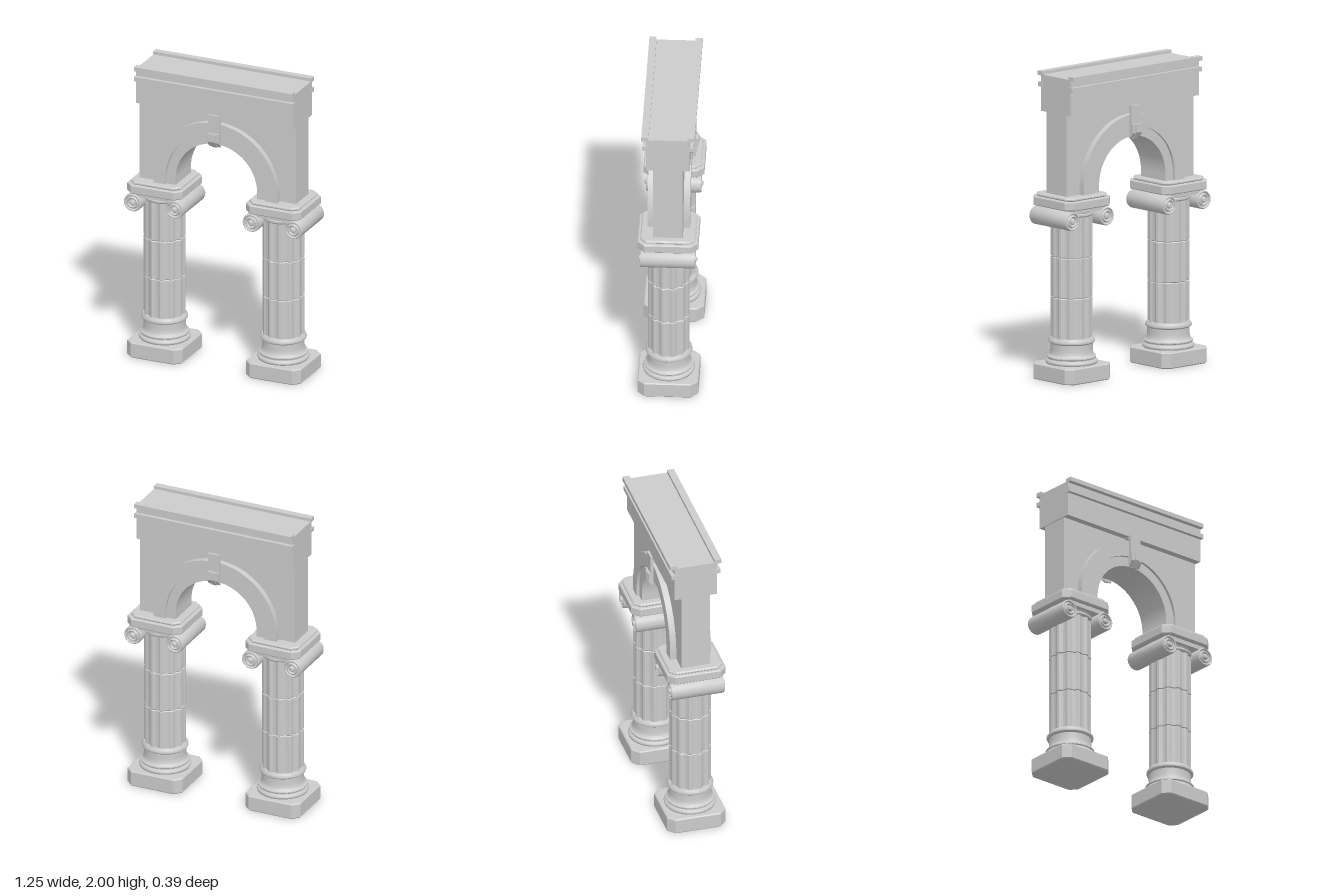
import * as THREE from 'three';
import { toCreasedNormals } from 'three/addons/utils/BufferGeometryUtils.js';

const material = new THREE.MeshStandardMaterial({ color: 0xcccccc });

function add(parent, name, geometry, x = 0, y = 0, z = 0) {
  const mesh = new THREE.Mesh(geometry, material);
  mesh.name = name;
  mesh.position.set(x, y, z);
  parent.add(mesh);
  return mesh;
}

function box(parent, name, w, y0, y1, z0, z1) {
  return add(parent, name, new THREE.BoxGeometry(w, y1 - y0, z1 - z0), 0, (y0 + y1) / 2, (z0 + z1) / 2);
}

const lathe = (pts, segments = 40) =>
  toCreasedNormals(new THREE.LatheGeometry(pts.map(p => new THREE.Vector2(...p)), segments), 0.6);

const polygon = pts => new THREE.Shape(pts.map(p => new THREE.Vector2(...p)));

// Horizontal shape extruded upward from y0 to y1 with a small bevel
function upright(shape, y0, y1, bevel) {
  const g = new THREE.ExtrudeGeometry(shape, {
    depth: y1 - y0 - 2 * bevel, bevelEnabled: bevel > 0, bevelSize: bevel,
    bevelThickness: bevel, bevelOffset: -bevel, bevelSegments: 1,
  });
  g.translate(0, 0, bevel);
  g.rotateX(-Math.PI / 2);
  g.translate(0, y0, 0);
  return toCreasedNormals(g, 0.5);
}

// Square slab with cut corners
function slab(half, cut, y0, y1, bevel) {
  const a = half, b = half - cut;
  return upright(polygon([[a, -b], [a, b], [b, a], [-b, a], [-a, b], [-a, -b], [-b, -a], [b, -a]]), y0, y1, bevel);
}

// Cross-section of the shaft: twelve shallow flutes separated by narrow fillets
function flutedShape(radius, depth) {
  const pts = [], flutes = 12, steps = 8, period = 2 * Math.PI / flutes, width = period * 0.8;
  for (let i = 0; i < flutes; i++) {
    for (let j = 0; j <= steps; j++) {
      const t = j / steps;
      const r = radius - depth * Math.sin(Math.PI * t);
      const a = i * period + (t - 0.5) * width;
      pts.push([r * Math.cos(a), r * Math.sin(a)]);
    }
  }
  return polygon(pts);
}

function makeColumn() {
  const column = new THREE.Group();
  column.name = 'column';
  add(column, 'plinth', slab(0.195, 0.045, 0, 0.105, 0.007));

  // Moulded base: torus, fillets, drum and collar
  add(column, 'base', lathe([
    [0, 0.1], [0.158, 0.1], [0.165, 0.106], [0.168, 0.116], [0.165, 0.126], [0.158, 0.132],
    [0.153, 0.134], [0.153, 0.14], [0.158, 0.145], [0.158, 0.152], [0.15, 0.157], [0.144, 0.163],
    [0.139, 0.175], [0.136, 0.195], [0.136, 0.235], [0.142, 0.238], [0.149, 0.244],
    [0.151, 0.252], [0.149, 0.26], [0.142, 0.267], [0.138, 0.275], [0, 0.275],
  ]));

  // Three drums with dark joints between them
  [[0.27, 0.538], [0.538, 0.803], [0.803, 1.09]].forEach(([y0, y1]) =>
    add(column, 'shaftDrum', upright(flutedShape(0.135, 0.012), y0, y1, 0.005)));

  // Capital: necking, bridge, scrolls and stepped top slab
  add(column, 'necking', lathe([
    [0, 1.07], [0.136, 1.07], [0.142, 1.078], [0.142, 1.088], [0.137, 1.093],
    [0.14, 1.1], [0.152, 1.112], [0.16, 1.125], [0.16, 1.135], [0, 1.135],
  ]));
  box(column, 'scrollBridge', 0.3, 1.105, 1.138, -0.165, 0.165);
  const face = [
    [0.061, 0.168], [0.058, 0.175], [0.054, 0.177], [0.05, 0.175], [0.047, 0.166], [0.04, 0.166],
    [0.037, 0.174], [0.033, 0.177], [0.029, 0.174], [0.026, 0.167], [0.018, 0.167],
    [0.018, 0.18], [0.013, 0.187], [0, 0.19],
  ];
  const back = face.map(([r, h]) => [r, -h]).reverse();
  for (const s of [-1, 1]) {
    const scroll = lathe([...back, ...face], 32);
    scroll.rotateX(Math.PI / 2);
    add(column, 'scroll', scroll, s * 0.148, 1.063, 0);
  }
  add(column, 'abacus', slab(0.195, 0.045, 1.133, 1.192, 0.006));
  add(column, 'abacusTop', slab(0.178, 0.04, 1.19, 1.213, 0.008));
  return column;
}

// Arch measurements
const springY = 1.255, footY = 1.2;

// Outline of an upside-down U between two radii
function archBand(inner, outer) {
  const s = new THREE.Shape();
  s.moveTo(outer, footY);
  s.lineTo(outer, springY);
  s.absarc(0, springY, outer, 0, Math.PI, false);
  s.lineTo(-outer, footY);
  s.lineTo(-inner, footY);
  s.lineTo(-inner, springY);
  s.absarc(0, springY, inner, Math.PI, 0, true);
  s.lineTo(inner, footY);
  return s;
}

function wallShape(half, top, inner) {
  const s = polygon([[half, footY], [half, top], [-half, top], [-half, footY], [-inner, footY]]);
  s.lineTo(-inner, springY);
  s.absarc(0, springY, inner, Math.PI, 0, true);
  s.lineTo(inner, footY);
  return s;
}

function through(shape, halfDepth) {
  const g = new THREE.ExtrudeGeometry(shape, { depth: 2 * halfDepth, bevelEnabled: false, curveSegments: 40 });
  g.translate(0, 0, -halfDepth);
  return toCreasedNormals(g, 0.5);
}

// Side profile (z, y) extruded across x, centred
function crosswise(pts, width) {
  const g = new THREE.ExtrudeGeometry(polygon(pts), { depth: width, bevelEnabled: false });
  g.translate(0, 0, -width / 2);
  g.rotateY(-Math.PI / 2);
  return g;
}

function makeKeystone() {
  const keystone = new THREE.Group();
  keystone.name = 'keystone';
  // Hooked plate, then a narrow tongue
  add(keystone, 'keystonePlate', crosswise([
    [0.09, 1.737], [0.134, 1.737], [0.134, 1.535], [0.142, 1.535], [0.168, 1.57],
    [0.168, 1.63], [0.155, 1.63], [0.155, 1.752], [0.09, 1.752],
  ], 0.08));
  add(keystone, 'keystoneTongue', crosswise([
    [0.13, 1.53], [0.145, 1.53], [0.174, 1.575], [0.174, 1.625], [0.13, 1.625],
  ], 0.034));
  return keystone;
}

export function createModel() {
  const model = new THREE.Group();
  model.name = 'archway';

  for (const s of [-1, 1]) {
    const column = makeColumn();
    column.position.x = s * 0.418;
    model.add(column);
  }

  // Wall and the two stepped arch bands
  add(model, 'wall', through(wallShape(0.55, 1.75, 0.34), 0.095));
  add(model, 'outerArchBand', through(archBand(0.35, 0.435), 0.136));
  add(model, 'innerArchBand', through(archBand(0.287, 0.352), 0.118));

  // Entablature with mouldings on both long sides
  box(model, 'frieze', 1.11, 1.742, 1.98, -0.14, 0.14);
  for (const s of [-1, 1]) {
    const side = new THREE.Group();
    side.name = 'sideMouldings';
    box(side, 'lowerMoulding', 1.12, 1.9, 1.93, 0.12, 0.164);
    box(side, 'topRail', 1.114, 1.972, 2, 0.125, 0.171);
    side.add(makeKeystone());
    if (s < 0) side.rotation.y = Math.PI;
    model.add(side);
  }
  return model;
}
